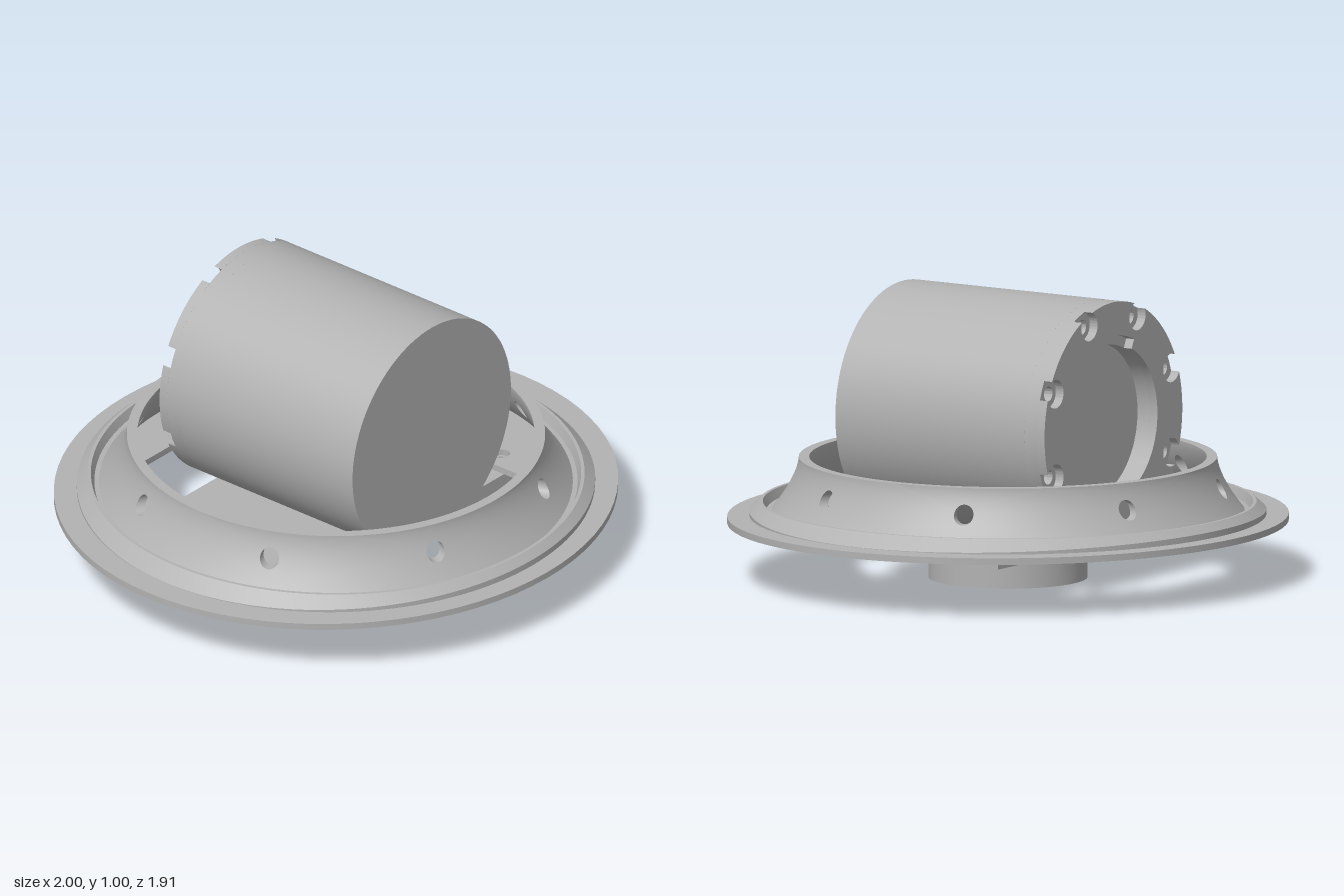
import * as THREE from 'three';
import { mergeGeometries, mergeVertices, toCreasedNormals } from 'three/addons/utils/BufferGeometryUtils.js';

const grey = new THREE.MeshStandardMaterial({ color: 0xb2b2b2, side: THREE.DoubleSide });
grey.name = 'machined grey';

function add(parent, name, geometry) {
  const mesh = new THREE.Mesh(geometry, grey);
  mesh.name = name;
  parent.add(mesh);
  return mesh;
}

function circle(x, y, r) {
  return new THREE.Path().absarc(x, y, r, 0, Math.PI * 2, true);
}

function extrude(shape, depth) {
  const g = new THREE.ExtrudeGeometry(shape, { depth, bevelEnabled: false, curveSegments: 40 });
  return toCreasedNormals(g, 0.5);
}

// Flat slab lying between two heights
function slab(shape, y0, y1) {
  return extrude(shape, y1 - y0).rotateX(-Math.PI / 2).translate(0, y0, 0);
}

function polygon(points) {
  return new THREE.Shape(points.map(([x, y]) => new THREE.Vector2(x, y)));
}

// Surface from a function f(i, j) -> [x, y, z]
function grid(rows, cols, f, flip) {
  const pos = [], index = [];
  for (let i = 0; i <= rows; i++) for (let j = 0; j <= cols; j++) pos.push(...f(i / rows, j / cols));
  for (let i = 0; i < rows; i++) for (let j = 0; j < cols; j++) {
    const a = i * (cols + 1) + j, b = a + cols + 1;
    if (flip) index.push(a, b + 1, b, a, a + 1, b + 1);
    else index.push(a, b, b + 1, a, b + 1, a + 1);
  }
  const g = new THREE.BufferGeometry();
  g.setAttribute('position', new THREE.Float32BufferAttribute(pos, 3));
  g.setIndex(index);
  return g;
}

function smooth(parts) {
  const g = mergeVertices(mergeGeometries(parts), 1e-4);
  g.computeVertexNormals();
  return g;
}

// Flared collar with eight radial holes
const Y0 = 0.218, Y1 = 0.42, HOLE_Y = 0.33, HOLE_R = 0.034, WALL = 0.036;
const flare = y => 0.722 + 0.093 * Math.pow((Y1 - y) / 0.185, 1.6);

// Point in one sector: s runs from the hole edge to the sector's border, u runs round it
function sectorPoint(center, s, u, inset) {
  const side = Math.min(3, Math.floor(u * 4)), t = u * 4 - side, w = Math.PI / 8;
  const border = [
    [w, Y0 + (Y1 - Y0) * t], [w - 2 * w * t, Y1],
    [-w, Y1 - (Y1 - Y0) * t], [-w + 2 * w * t, Y0]][side];
  const a = u * Math.PI * 2 - Math.PI / 4;
  const hole = [HOLE_R / 0.75 * Math.cos(a), HOLE_Y + HOLE_R * Math.sin(a)];
  const th = center + hole[0] + (border[0] - hole[0]) * s;
  const y = hole[1] + (border[1] - hole[1]) * s;
  const r = flare(y) - inset;
  return [r * Math.sin(th), y, r * Math.cos(th)];
}

function addCollar(parent) {
  const outer = [], inner = [], bores = [];
  for (let k = 0; k < 8; k++) {
    const c = (k + 0.5) * Math.PI / 4;
    outer.push(grid(8, 64, (s, u) => sectorPoint(c, s, u, 0)));
    inner.push(grid(8, 64, (s, u) => sectorPoint(c, s, u, WALL), true));
    bores.push(grid(1, 64, (s, u) => sectorPoint(c, 0, u, WALL * s), true));
  }
  add(parent, 'collarOuter', smooth(outer));
  add(parent, 'collarInner', smooth(inner));
  add(parent, 'collarHoles', smooth(bores));
  add(parent, 'collarLip', new THREE.RingGeometry(0.722 - WALL, 0.722, 128).rotateX(-Math.PI / 2).translate(0, Y1, 0));
}

// Bevelled rim with a groove; its outer wall is cut to an ellipse
function rimGeometry() {
  const profile = [[0.92, 0.21], [0.92, 0.24], [0.858, 0.265], [0.846, 0.265], [0.834, 0.232], [0.79, 0.232]];
  const g = new THREE.LatheGeometry(profile.map(p => new THREE.Vector2(...p)), 128);
  const p = g.attributes.position;
  for (let i = 0; i < p.count; i++) {
    const x = p.getX(i), z = p.getZ(i), r = Math.hypot(x, z);
    if (r < 0.9) continue;
    const e = 1 / Math.hypot(x / r / 0.908, z / r / 0.885);
    const y = p.getY(i) < 0.22 ? 0.21 : 0.265 - (e - 0.858) * 0.92;
    p.setXYZ(i, x / r * e, y, z / r * e);
  }
  return toCreasedNormals(g, 0.4);
}

// Scalloped bolt flange with a stepped opening
function flangeShape() {
  const R = 0.4225, d = 0.385, r = 0.05, s = new THREE.Shape();
  const half = Math.acos((R * R + d * d - r * r) / (2 * R * d));
  const turn = Math.atan2(R * Math.sin(half), R * Math.cos(half) - d);
  for (let k = 0; k < 8; k++) {
    const a = (k + 0.5) * Math.PI / 4;
    s.absarc(0, 0, R, a - Math.PI / 4 + half, a - half, false);
    s.absarc(d * Math.cos(a), d * Math.sin(a), r, a - turn, a + turn, true);
  }
  s.closePath();
  const opening = new THREE.Path();
  opening.absarc(0, 0, 0.305, 0.7, 2.0, false);
  opening.absarc(0, 0, 0.27, 2.0, 0.7 + Math.PI * 2, false);
  opening.closePath();
  s.holes.push(opening);
  return s;
}

function addDrum(parent) {
  const drum = new THREE.Group();
  drum.name = 'drum';
  drum.position.y = 0.574;
  parent.add(drum);
  add(drum, 'drumBody', new THREE.CylinderGeometry(0.4225, 0.4225, 0.79, 96).rotateX(Math.PI / 2).translate(0, 0, 0.038));
  // Layer with bolt holes and the pocket wall
  const layer = new THREE.Shape().absarc(0, 0, 0.4225, 0, Math.PI * 2, false);
  layer.holes.push(circle(0, 0, 0.27));
  for (let k = 0; k < 8; k++) {
    const a = (k + 0.5) * Math.PI / 4;
    layer.holes.push(circle(0.38 * Math.cos(a), 0.38 * Math.sin(a), 0.026));
  }
  add(drum, 'drumBoltSeat', extrude(layer, 0.05).translate(0, 0, -0.407));
  add(drum, 'drumBackFlange', extrude(flangeShape(), 0.033).translate(0, 0, -0.44));
}

export function createModel() {
  const model = new THREE.Group();
  model.name = 'domeMount';
  const screws = [[1, 1], [1, -1], [-1, 1], [-1, -1]].map(([i, j]) => [i * 0.533, j * 0.295]);

  // Oval base disc with a stepped opening
  const disc = new THREE.Shape().absellipse(0, 0, 1, 0.955, 0, Math.PI * 2, false, 0);
  const corner = [[0.46, 0.53], [0.45, 0.54], [0.39, 0.545], [0.365, 0.56], [0.34, 0.6], [0.32, 0.61]];
  const back = corner.slice().reverse();
  disc.holes.push(polygon([
    ...corner, ...back.map(([x, y]) => [-x, y]),
    ...corner.map(([x, y]) => [-x, -y]), ...back.map(([x, y]) => [x, -y])]));
  screws.forEach(([x, z]) => disc.holes.push(circle(x, z, 0.03)));
  add(model, 'baseDisc', slab(disc, 0.195, 0.218));

  add(model, 'rim', rimGeometry());
  addCollar(model);
  addDrum(model);

  // Mounting plate below the disc
  const plate = polygon([[-0.605, -0.37], [0.605, -0.37], [0.605, 0.37], [-0.605, 0.37]]);
  screws.forEach(([x, z]) => plate.holes.push(circle(x, z, 0.02)));
  add(model, 'mountingPlate', slab(plate, 0.135, 0.195));

  // Hub with centre bore and two rings of bolt holes
  const hub = new THREE.Shape().absarc(0, 0, 0.275, 0, Math.PI * 2, false);
  hub.holes.push(circle(0, 0, 0.11));
  for (let k = 0; k < 6; k++) {
    const a = k * Math.PI / 3;
    hub.holes.push(circle(0.228 * Math.cos(a), 0.228 * Math.sin(a), 0.032));
    if (k % 2) hub.holes.push(circle(0.18 * Math.cos(a + Math.PI / 6), 0.18 * Math.sin(a + Math.PI / 6), 0.03));
  }
  add(model, 'hub', slab(hub, 0, 0.135));
  add(model, 'hubTab', new THREE.BoxGeometry(0.05, 0.12, 0.16).translate(-0.29, 0.075, 0));
  return model;
}
